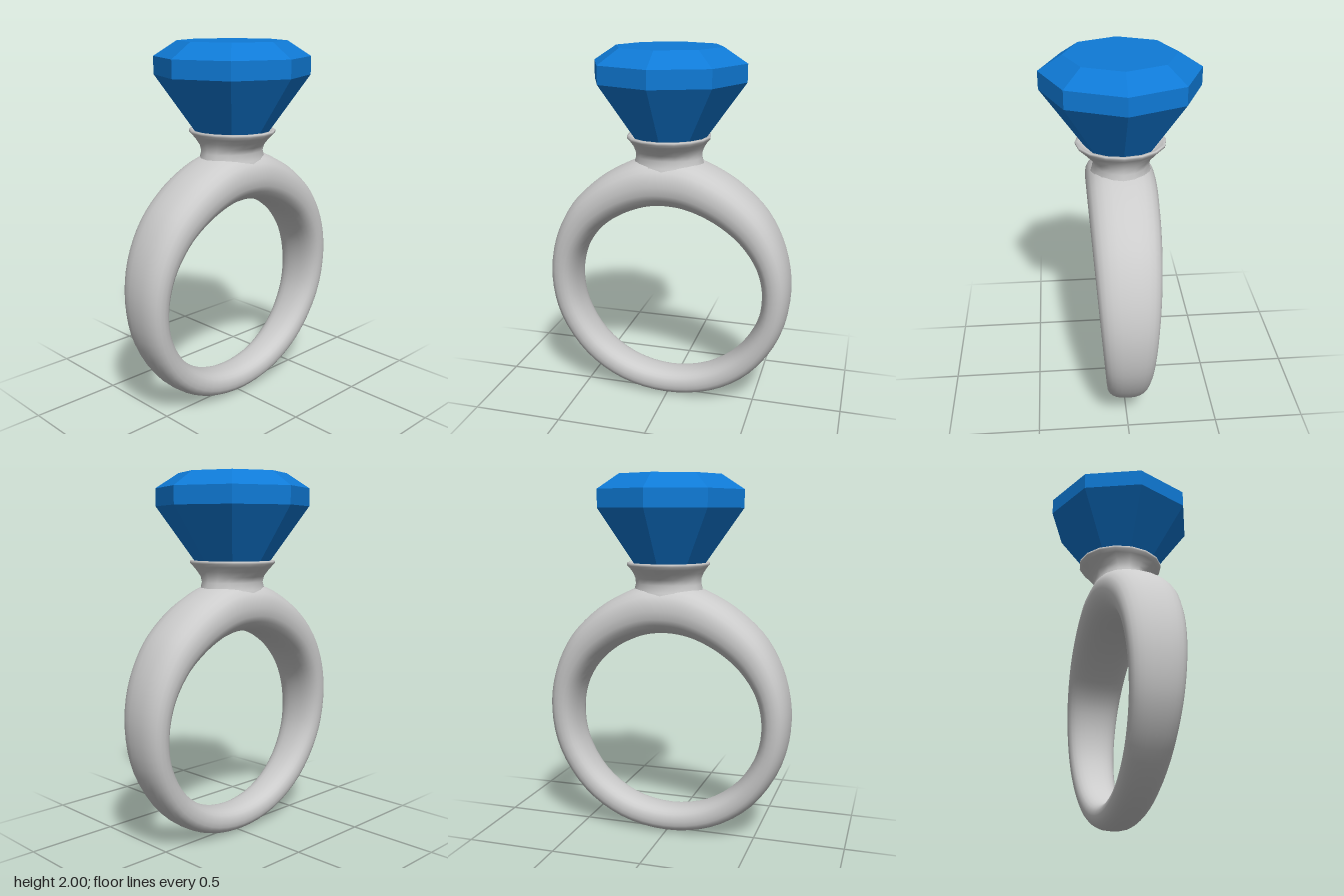
import * as THREE from 'three';

// Closed-section surface: rows of points, each row a closed loop; rows may also wrap.
function loft(rows, wrapRows) {
  const n = rows[0].length, m = rows.length, index = [];
  for (let r = 0; r < (wrapRows ? m : m - 1); r++) {
    for (let c = 0; c < n; c++) {
      const a = r * n + c, b = r * n + (c + 1) % n;
      const up = ((r + 1) % m) * n;
      const d = up + c, e = up + (c + 1) % n;
      index.push(a, b, e, a, e, d);
    }
  }
  const g = new THREE.BufferGeometry();
  g.setAttribute('position', new THREE.Float32BufferAttribute(rows.flat(2), 3));
  g.setIndex(index);
  g.computeVertexNormals();
  return g;
}

// Smooth closed outline from the points of its +x half (bottom to top)
function mirroredCurve(half) {
  const left = half.slice(1, -1).reverse().map(([x, y]) => [-x, y]);
  const pts = [...half, ...left].map(([x, y]) => new THREE.Vector3(x, y, 0));
  return new THREE.CatmullRomCurve3(pts, true, 'centripetal');
}

const spow = (v, p) => Math.sign(v) * Math.abs(v) ** p;

function bandGeometry() {
  const outer = mirroredCurve([[0, 0.005], [0.27, 0.055], [0.49, 0.2], [0.645, 0.44], [0.69, 0.69],
    [0.655, 0.92], [0.55, 1.13], [0.4, 1.275], [0.26, 1.36], [0.13, 1.41], [0, 1.42]]);
  const inner = mirroredCurve([[0, 0.15], [0.22, 0.194], [0.4, 0.32], [0.51, 0.5], [0.537, 0.67],
    [0.505, 0.83], [0.42, 0.96], [0.32, 1.045], [0.21, 1.105], [0.1, 1.14], [0, 1.15]]);
  const rows = [], steps = 80, sides = 24;
  for (let i = 0; i < steps; i++) {
    const o = outer.getPoint(i / steps), k = inner.getPoint(i / steps);
    const mid = o.clone().add(k).multiplyScalar(0.5);
    const half = o.clone().sub(k).multiplyScalar(0.5);
    const width = 0.1 + 0.0725 * (mid.y - 0.07); // widens towards the top
    const row = [];
    for (let j = 0; j < sides; j++) {
      const a = j / sides * Math.PI * 2;
      const s = spow(Math.cos(a), 2 / 2.4), w = spow(Math.sin(a), 2 / 2.4);
      row.push([mid.x + half.x * s, mid.y + half.y * s, -width * w]);
    }
    rows.push(row);
  }
  return loft(rows, true);
}

function settingGeometry() {
  // height, half width in x, half depth in z
  const rings = [[1.25, 0.17, 0.16], [1.29, 0.2, 0.176], [1.34, 0.205, 0.172], [1.38, 0.195, 0.157],
    [1.42, 0.184, 0.149], [1.45, 0.184, 0.163], [1.48, 0.194, 0.195], [1.505, 0.21, 0.222],
    [1.522, 0.225, 0.24], [1.535, 0.226, 0.24], [1.537, 0.215, 0.225], [1.51, 0.18, 0.19], [1.5, 0, 0]];
  const sides = 16;
  return loft(rings.map(([y, rx, rz]) => Array.from({ length: sides }, (_, j) => {
    const a = j / sides * Math.PI * 2;
    return [rx * Math.sin(a), y, rz * Math.cos(a)];
  })), false);
}

export function createModel() {
  const group = new THREE.Group();
  group.name = 'gemRing';
  const metal = new THREE.MeshStandardMaterial({ color: 0xcccccc });
  const blue = new THREE.MeshStandardMaterial({ color: 0x0f7ad6, flatShading: true });
  const add = (name, geometry, material) => {
    const mesh = new THREE.Mesh(geometry, material);
    mesh.name = name;
    group.add(mesh);
  };

  add('band', bandGeometry(), metal);
  add('setting', settingGeometry(), metal);

  // Eight-sided cut stone: pavilion, girdle, crown and flat table
  const profile = [[0, 1.505], [0.187, 1.505], [0.415, 1.825], [0.415, 1.92], [0.29, 2], [0, 2]];
  add('gemstone', new THREE.LatheGeometry(profile.map(([x, y]) => new THREE.Vector2(x, y)), 8), blue);
  return group;
}
